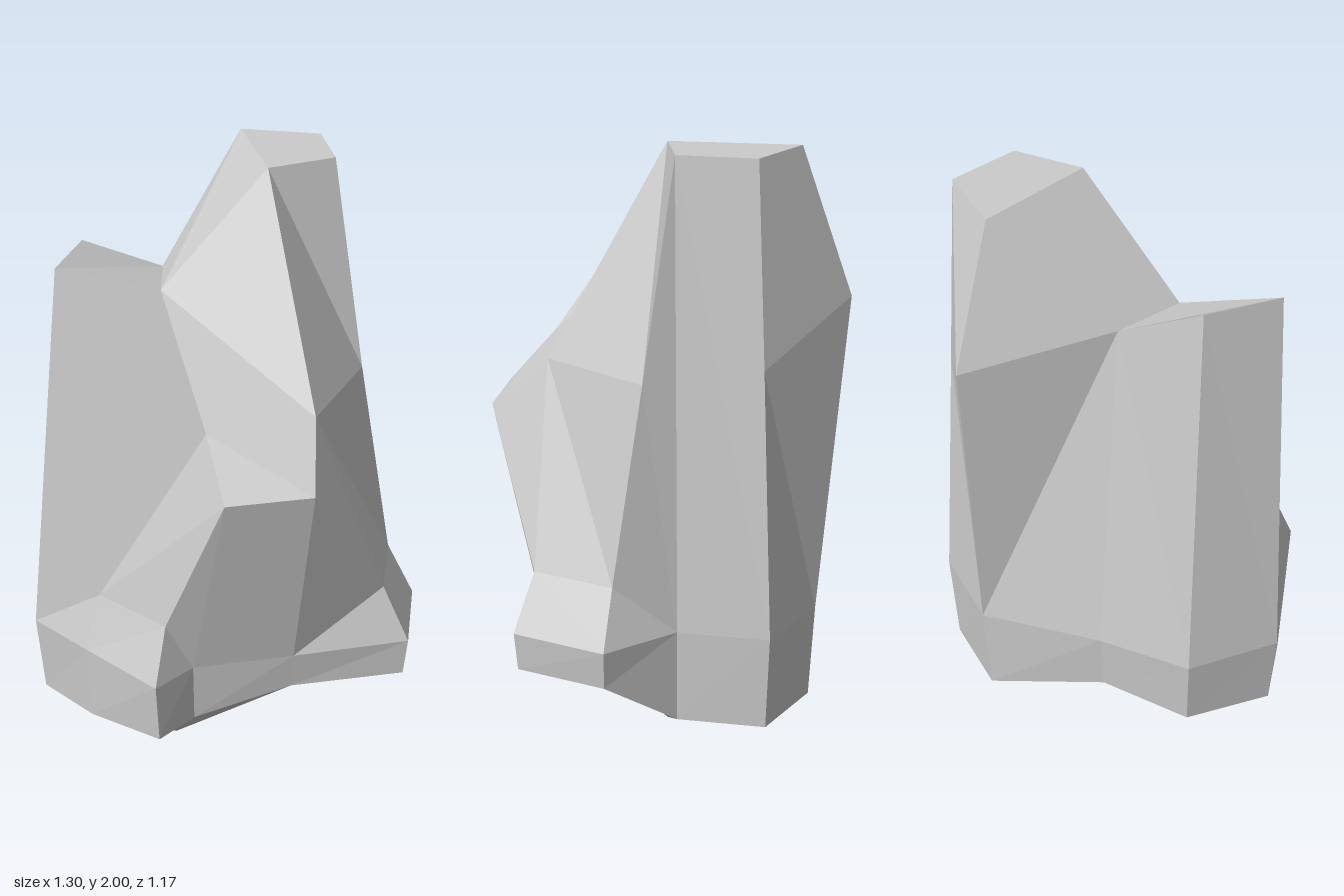
import * as THREE from 'three';

// Corner points, grouped by height
const points = {
  // flat top of the tall spire: front, right, back right, back
  A: [0.16, 2, 0], B: [0.405, 2, -0.03], C: [0.455, 2, -0.285], D: [0.22, 2, -0.425],
  // bulge of the spire's back and side
  E: [0.235, 1.52, -0.59], e: [0.485, 1.34, -0.31],
  // top of the short spire and the saddle between the two
  F: [-0.56, 1.76, 0.03], G: [-0.41, 1.76, -0.19], H: [-0.125, 1.62, -0.23], I: [-0.205, 1.63, 0],
  // front shoulder and overhanging ledge
  X: [-0.185, 1.29, 0.39], U: [0.185, 1.29, 0.39], T: [0.48, 1.29, 0.07],
  W: [-0.18, 1.11, 0.55], V: [0.11, 1.11, 0.585],
  // tops of the front feet
  c: [-0.485, 0.64, 0.165], a: [-0.34, 0.64, 0.43], S: [0.43, 0.64, 0.425], Q: [0.56, 0.64, 0.165],
  // lowest points of the underside
  g: [-0.23, 0.055, 0.19], k: [-0.23, 0.055, 0.03], h: [0.185, 0, 0], i: [0.19, 0.19, 0.19],
};

// Base band: x, z at its upper edge (y 0.45), then x, y, z at its lower edge
const band = [
  [-0.655, -0.055, -0.63, 0.185, -0.05],
  [-0.54, 0.19, -0.53, 0.19, 0.185],
  [-0.395, 0.49, -0.38, 0.24, 0.475],
  [-0.24, 0.41, -0.23, 0.24, 0.39],
  [0.1, 0.45, 0.1, 0.32, 0.43],
  [0.5, 0.49, 0.49, 0.32, 0.48],
  [0.65, 0.19, 0.63, 0.32, 0.19],
  [0.475, -0.04, 0.46, 0.13, -0.04],
  [0.53, -0.34, 0.51, 0.13, -0.33],
  [0.26, -0.497, 0.25, 0.13, -0.48],
  [-0.15, -0.38, -0.15, 0.24, -0.36],
  [-0.475, -0.33, -0.46, 0.2, -0.31],
];
band.forEach(([x, z, lx, ly, lz], n) => {
  points['s' + n] = [x, 0.45, z];
  points['b' + n] = [lx, ly, lz];
});

// Faceted mesh from polygons, each a list of corner names seen counter-clockwise
function facets(name, polygons, material) {
  const position = [];
  for (const polygon of polygons) {
    const corners = polygon.split(' ').map((key) => points[key]);
    for (let n = 1; n < corners.length - 1; n++) {
      position.push(...corners[0], ...corners[n], ...corners[n + 1]);
    }
  }
  const geometry = new THREE.BufferGeometry();
  geometry.setAttribute('position', new THREE.Float32BufferAttribute(position, 3));
  geometry.computeVertexNormals();
  const mesh = new THREE.Mesh(geometry, material);
  mesh.name = name;
  return mesh;
}

export function createModel() {
  const stone = new THREE.MeshStandardMaterial({ color: 0xcccccc, flatShading: true });
  const rock = new THREE.Group();
  rock.name = 'rock';

  // Spire tops and the saddle joining them
  rock.add(facets('rockTop', ['A B C D', 'F I H G', 'I A D H'], stone));

  // Front: shoulder, ledge and the faces running down to the feet
  rock.add(facets('rockFront', [
    'F X I', 'I X U A', 'A U T', 'A T B', 'X W V U',
    'F c X', 'c a W X', 'a s2 s3', 'W a s3', 'W s3 s4 V',
    'V s4 S', 'S s4 s5', 'U V S', 'U S Q', 'U Q T', 'S s5 s6 Q',
  ], stone));

  // Sides
  rock.add(facets('leftSide', [
    'B T s7', 'T Q s7', 'Q s6 s7', 'B s7 s8 e C',
  ], stone));
  rock.add(facets('rightSide', [
    'F s0 c', 's0 s1 c', 's1 s2 a c', 'G s11 s0 F',
  ], stone));

  // Back
  rock.add(facets('rockBack', [
    'C E D', 'C e E', 'e s8 s9 E', 'D E H', 'H E s9', 'H s9 s10', 'H s10 s11 G',
  ], stone));

  // Band around the foot
  rock.add(facets('baseBand', band.map((_, n) => {
    const m = (n + 1) % band.length;
    return `b${n} b${m} s${m} s${n}`;
  }), stone));

  // Underside
  rock.add(facets('underside', [
    'b8 b7 h', 'b9 b8 h', 'b10 b9 h', 'b10 h k', 'b11 b10 k', 'b0 b11 k',
    'b0 k g', 'b1 b0 g', 'b3 b2 b1', 'b3 b1 g', 'b4 b3 g', 'b4 g i',
    'i g h', 'g k h', 'b6 b5 b4', 'b6 b4 i', 'b7 b6 i', 'b7 i h',
  ], stone));

  return rock;
}
